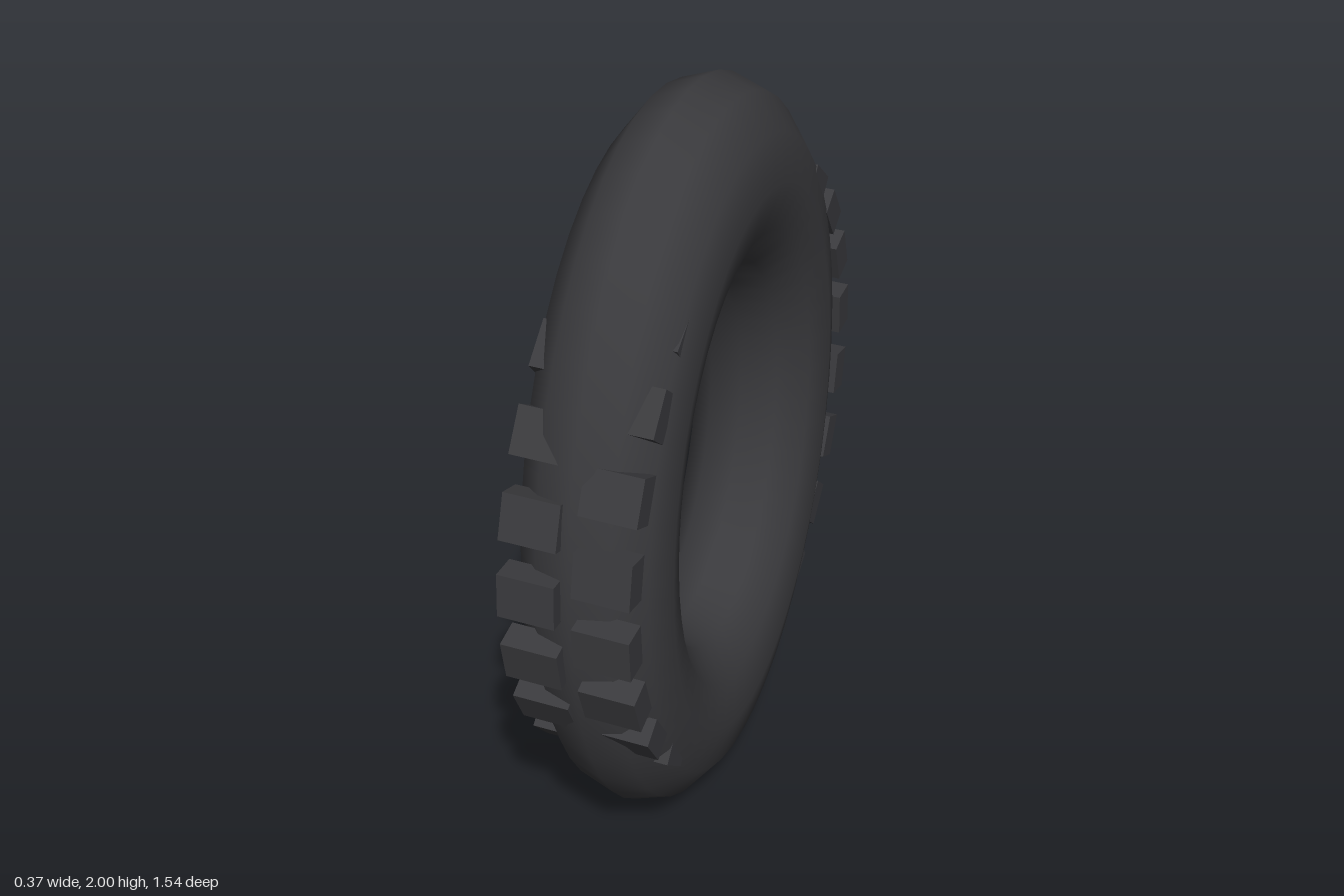
import * as THREE from 'three';

export function createModel() {
  const group = new THREE.Group();
  group.name = 'tyre';
  const rubber = new THREE.MeshStandardMaterial({ color: 0x3a3a3d });
  rubber.name = 'darkRubber';

  // Smooth ring standing upright, narrowed in width and depth
  const ringGeometry = new THREE.TorusGeometry(0.75, 0.25, 12, 48);
  ringGeometry.rotateY(Math.PI / 2);
  ringGeometry.scale(0.74, 1, 0.74);
  const ring = new THREE.Mesh(ringGeometry, rubber);
  ring.name = 'ring';
  ring.position.y = 1;
  group.add(ring);

  // Two staggered rows of tread blocks on a true circle,
  // so they sink into the ring near its top and bottom
  const count = 24;
  const step = (Math.PI * 2) / count;
  const radius = 0.735;
  const blockGeometry = new THREE.BoxGeometry(0.143, 0.115, 0.07);
  for (const side of [-1, 1]) {
    const row = new THREE.Group();
    row.name = side > 0 ? 'leftTreadRow' : 'rightTreadRow';
    row.position.set(side * 0.0925, 1, 0);
    for (let i = 0; i < count; i++) {
      const angle = i * step - (side * step) / 4;
      const block = new THREE.Mesh(blockGeometry, rubber);
      block.name = 'treadBlock';
      block.position.set(0, radius * Math.sin(angle), radius * Math.cos(angle));
      block.rotation.x = -angle;
      row.add(block);
    }
    group.add(row);
  }
  return group;
}
